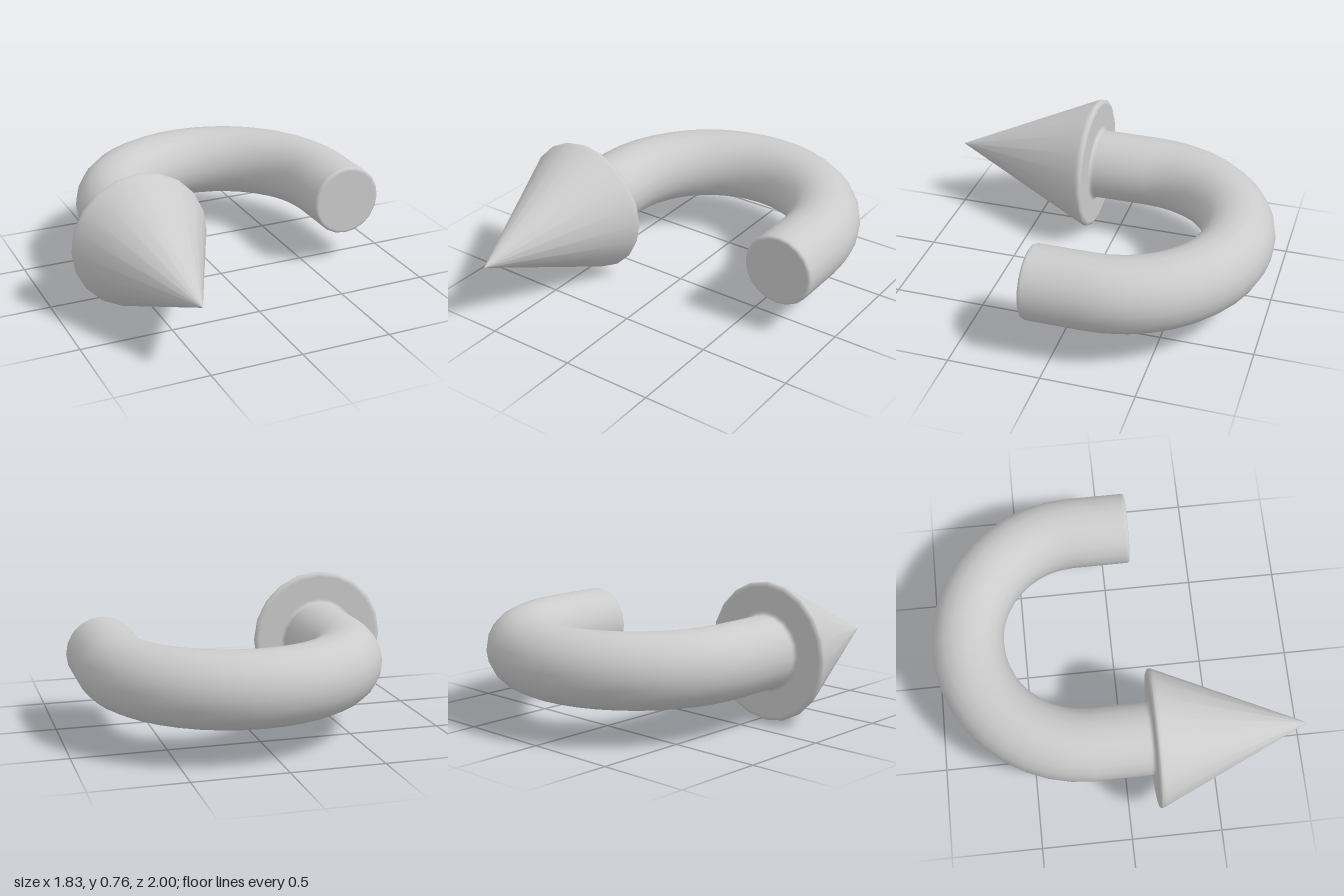
import * as THREE from 'three';

const SIDES = 20;
const TUBE = 0.199;   // tube radius
const BEND = 0.628;   // centreline radius of the bend
const MID_X = 0.087, AXIS_Y = 0.38, BEND_Z = -0.173;

export function createModel() {
  const group = new THREE.Group();
  const material = new THREE.MeshStandardMaterial({ color: 0xcccccc });

  const add = (name, geometry, x, z) => {
    const mesh = new THREE.Mesh(geometry, material);
    mesh.name = name;
    mesh.position.set(x, AXIS_Y, z);
    group.add(mesh);
  };

  // Turned part along z, from [radius, z] pairs
  const turned = (profile) => new THREE.LatheGeometry(
    profile.map(([r, z]) => new THREE.Vector2(r, z)), SIDES).rotateX(Math.PI / 2);

  // Half-ring bend, curving round the back
  add('bend', new THREE.TorusGeometry(BEND, TUBE, SIDES, 20, Math.PI).rotateX(-Math.PI / 2), MID_X, BEND_Z);

  // Plain leg with a softly bevelled flat end
  add('plainLeg', turned([
    [TUBE, BEND_Z], [TUBE, 0.125], [TUBE, 0.133], [TUBE - 0.004, 0.142],
    [TUBE - 0.012, 0.146], [TUBE - 0.02, 0.146], [0, 0.146],
  ]), MID_X + BEND, 0);

  // Leg running into the arrowhead: small fillet, flat back, rounded rim, cone
  add('arrowLeg', turned([
    [TUBE, BEND_Z], [TUBE, 0.125], [TUBE, 0.135], [TUBE + 0.004, 0.145], [TUBE + 0.015, 0.151],
    [TUBE + 0.025, 0.151], [0.352, 0.151], [0.36, 0.151], [0.373, 0.157],
    [0.378, 0.167], [0.375, 0.181], [0.371, 0.19], [0.005, 0.989], [0, 1],
  ]), MID_X - BEND, 0);

  return group;
}
